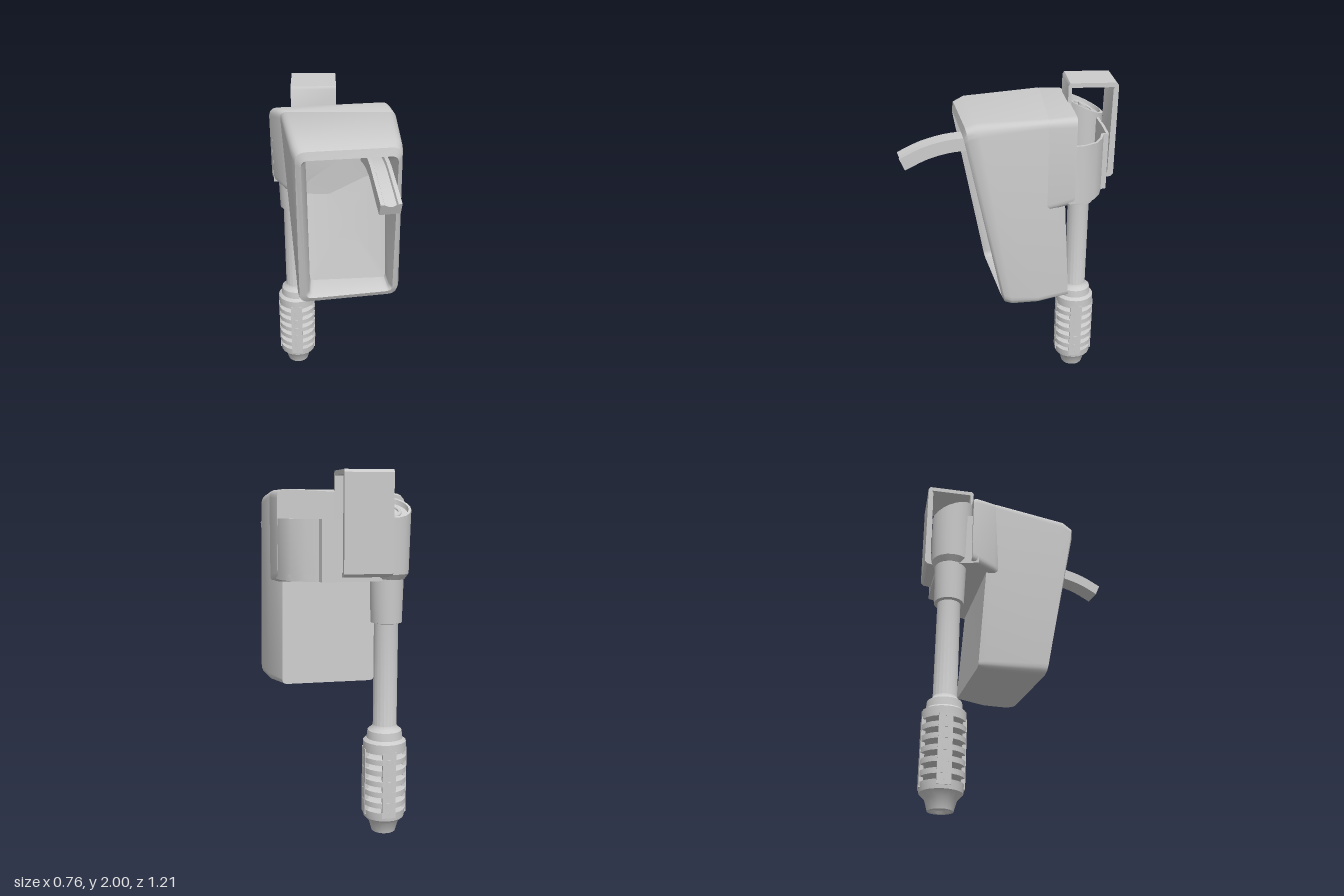
import * as THREE from 'three';
import { toCreasedNormals } from 'three/addons/utils/BufferGeometryUtils.js';

const V = (x, y, z) => new THREE.Vector3(x, y, z);

function addMesh(parent, name, geometry, crease = 0.6) {
  const material = new THREE.MeshStandardMaterial({ color: 0xcccccc, side: THREE.DoubleSide });
  const mesh = new THREE.Mesh(toCreasedNormals(geometry, crease), material);
  mesh.name = name;
  parent.add(mesh);
  return mesh;
}

// Skin a list of closed rings with equal point counts and cap both ends.
function loft(rings) {
  const n = rings[0].length, pos = [], idx = [];
  rings.forEach(r => r.forEach(p => pos.push(p.x, p.y, p.z)));
  for (let i = 0; i < rings.length - 1; i++) {
    for (let j = 0; j < n; j++) {
      const a = i * n + j, b = i * n + (j + 1) % n;
      idx.push(a, b, b + n, a, b + n, a + n);
    }
  }
  [0, rings.length - 1].forEach((k, end) => {
    const c = rings[k].reduce((s, p) => s.add(p), V(0, 0, 0)).divideScalar(n);
    const ci = pos.length / 3;
    pos.push(c.x, c.y, c.z);
    for (let j = 0; j < n; j++) {
      const a = k * n + j, b = k * n + (j + 1) % n;
      end ? idx.push(ci, a, b) : idx.push(ci, b, a);
    }
  });
  const g = new THREE.BufferGeometry();
  g.setAttribute('position', new THREE.Float32BufferAttribute(pos, 3));
  g.setIndex(idx);
  g.computeVertexNormals();
  return g;
}

// Four corners turned into a ring with rounded corners.
function roundedQuad(corners, r, steps = 5) {
  const pts = corners.map(c => V(...c)), ring = [];
  pts.forEach((p, i) => {
    const toward = q => q.clone().sub(p).setLength(r).add(p);
    const arc = new THREE.QuadraticBezierCurve3(toward(pts[(i + 3) % 4]), p, toward(pts[(i + 1) % 4]));
    ring.push(...arc.getPoints(steps));
  });
  return ring;
}

// Plan outline given as [x, z], raised from y0 to y1.
function raise(outline, y0, y1, hole) {
  const to2 = list => list.map(([x, z]) => new THREE.Vector2(x, -z));
  const shape = new THREE.Shape(to2(outline));
  if (hole) shape.holes.push(new THREE.Path(to2(hole)));
  return new THREE.ExtrudeGeometry(shape, { depth: y1 - y0, bevelEnabled: false })
    .rotateX(-Math.PI / 2).translate(0, y0, 0);
}

function lathe(points, sides = 20) {
  return new THREE.LatheGeometry(points.map(p => new THREE.Vector2(...p)), sides);
}

// Lean everything above y = 1.6 so that it rises toward the front.
function slopeTop(g) {
  const p = g.attributes.position;
  for (let i = 0; i < p.count; i++) {
    if (p.getY(i) > 1.6) p.setY(i, p.getY(i) + p.getZ(i) * 0.45);
  }
  g.computeVertexNormals();
  return g;
}

export function createModel() {
  const model = new THREE.Group();
  model.name = 'model';

  // Hollow body: cavity wall, out to the rim, then back along the outside
  addMesh(model, 'body', loft([
    roundedQuad([[-0.165, 1.63, -0.2], [0.29, 1.63, -0.14], [0.31, 0.89, -0.06], [-0.15, 0.89, -0.03]], 0.03),
    roundedQuad([[-0.168, 1.80, 0.26], [0.322, 1.80, 0.20], [0.325, 0.88, 0.04], [-0.152, 0.88, 0.11]], 0.03),
    roundedQuad([[-0.18, 1.815, 0.315], [0.33, 1.815, 0.255], [0.345, 0.865, 0.06], [-0.17, 0.865, 0.14]], 0.04),
    roundedQuad([[-0.21, 1.86, 0.31], [0.35, 1.86, 0.24], [0.375, 0.835, 0.04], [-0.21, 0.835, 0.13]], 0.06),
    roundedQuad([[-0.235, 1.885, 0.25], [0.355, 1.88, 0.18], [0.387, 0.828, 0.0], [-0.22, 0.828, 0.08]], 0.06),
    roundedQuad([[-0.305, 1.9, -0.19], [0.35, 1.9, -0.18], [0.362, 0.828, -0.14], [-0.23, 0.828, -0.23]], 0.04),
    roundedQuad([[-0.3, 1.88, -0.22], [0.285, 1.88, -0.26], [0.305, 0.84, -0.322], [-0.23, 0.83, -0.27]], 0.03),
  ]), 0.8);

  // Shoulder across the upper back, widening to the right rear corner
  addMesh(model, 'shoulder', loft([
    roundedQuad([[-0.275, 1.88, -0.15], [0.338, 1.88, -0.1], [0.345, 1.39, -0.14], [-0.25, 1.42, -0.15]], 0.04),
    roundedQuad([[-0.306, 1.9, -0.2], [0.349, 1.9, -0.19], [0.35, 1.395, -0.2], [-0.3, 1.42, -0.2]], 0.04),
    roundedQuad([[-0.372, 1.88, -0.32], [0.33, 1.905, -0.32], [0.33, 1.41, -0.32], [-0.37, 1.425, -0.32]], 0.05),
    roundedQuad([[-0.375, 1.87, -0.34], [0.325, 1.905, -0.335], [0.325, 1.415, -0.335], [-0.37, 1.43, -0.34]], 0.05),
  ]), 0.8);

  // Open-topped rear housing
  const outline = [[-0.36, -0.3], [0.33, -0.3], [0.315, -0.38], [0.27, -0.45], [0.2, -0.49],
    [0.13, -0.51], [0.12, -0.54], [-0.02, -0.54], [-0.2, -0.53], [-0.3, -0.52]];
  const inner = outline.map(([x, z]) => [x * 0.94, -0.41 + (z + 0.41) * 0.88]);
  addMesh(model, 'rearHousing', raise(outline, 1.43, 1.75, inner));
  addMesh(model, 'housingFloor', raise(outline, 1.425, 1.46));

  // Round cup over the handle with a sloping mouth, a ring and a stud inside
  const cup = new THREE.Group();
  cup.name = 'cup';
  cup.position.set(-0.255, 0, -0.45);
  model.add(cup);
  addMesh(cup, 'cupWall', slopeTop(lathe([[0, 1.43], [0.09, 1.43], [0.112, 1.46], [0.12, 1.81],
    [0.106, 1.81], [0.102, 1.785], [0, 1.785]])));
  addMesh(cup, 'cupRing', slopeTop(new THREE.TorusGeometry(0.06, 0.01, 8, 20)
    .rotateX(Math.PI / 2).translate(0, 1.788, 0)), 1.2);
  addMesh(cup, 'cupStud', slopeTop(new THREE.CylinderGeometry(0.025, 0.028, 0.03, 12).translate(0, 1.79, 0)));

  // Strap looping over the housing and down its back, drawn as [z, y]
  const strap = new THREE.Shape([[-0.325, 1.7], [-0.325, 1.985], [-0.335, 2], [-0.59, 2], [-0.602, 1.985],
    [-0.6, 1.47], [-0.585, 1.455], [-0.52, 1.445], [-0.52, 1.475], [-0.565, 1.475], [-0.573, 1.96],
    [-0.58, 1.975], [-0.345, 1.975], [-0.34, 1.7]].map(p => new THREE.Vector2(...p)));
  addMesh(model, 'strap', new THREE.ExtrudeGeometry(strap, { depth: 0.26, bevelEnabled: false })
    .rotateY(-Math.PI / 2).translate(0.015, 0, 0));

  // Curved lever with a channelled top
  const path = new THREE.CatmullRomCurve3([V(0.2, 1.7, -0.06), V(0.215, 1.75, 0.15),
    V(0.228, 1.758, 0.3), V(0.245, 1.725, 0.46), V(0.265, 1.672, 0.585)]);
  const profile = [[-0.055, -0.035], [0.055, -0.035], [0.055, 0.035], [0.035, 0.035],
    [0.03, 0.02], [-0.03, 0.02], [-0.035, 0.035], [-0.055, 0.035]];
  const leverRings = [];
  for (let i = 0; i <= 16; i++) {
    const p = path.getPointAt(i / 16), t = path.getTangentAt(i / 16);
    const side = V(0, 1, 0).cross(t).normalize(), up = t.clone().cross(side);
    leverRings.push(profile.map(([a, b]) => p.clone().addScaledVector(side, a).addScaledVector(up, b)));
  }
  addMesh(model, 'lever', loft(leverRings));

  // Handle: shaft, tip and slotted grip
  const handle = new THREE.Group();
  handle.name = 'handle';
  handle.position.set(-0.25, 0, -0.45);
  model.add(handle);
  addMesh(handle, 'shaft', lathe([[0, 0.475], [0.12, 0.475], [0.12, 0.53], [0.1, 0.545], [0.095, 0.59],
    [0.075, 0.605], [0.066, 0.62], [0.066, 1.19], [0.085, 1.195], [0.092, 1.46], [0, 1.46]]));
  addMesh(handle, 'gripTip', lathe([[0, 0.015], [0.04, 0.015], [0.05, 0], [0.068, 0], [0.085, 0.06],
    [0.115, 0.09], [0.12, 0.138], [0, 0.138]]));
  addMesh(handle, 'gripCore', new THREE.CylinderGeometry(0.04, 0.04, 0.4, 12).translate(0, 0.3, 0));
  for (let i = 0; i < 5; i++) {
    const y = 0.182 + i * 0.062;
    addMesh(handle, 'gripRing', lathe([[0, y - 0.02], [0.105, y - 0.02], [0.122, y - 0.015],
      [0.122, y + 0.015], [0.105, y + 0.02], [0, y + 0.02]]));
  }
  for (let i = 0; i < 4; i++) {
    addMesh(handle, 'gripPost', new THREE.BoxGeometry(0.075, 0.38, 0.022).translate(0, 0.3, 0.108)
      .rotateY(i * Math.PI / 2));
  }
  return model;
}
